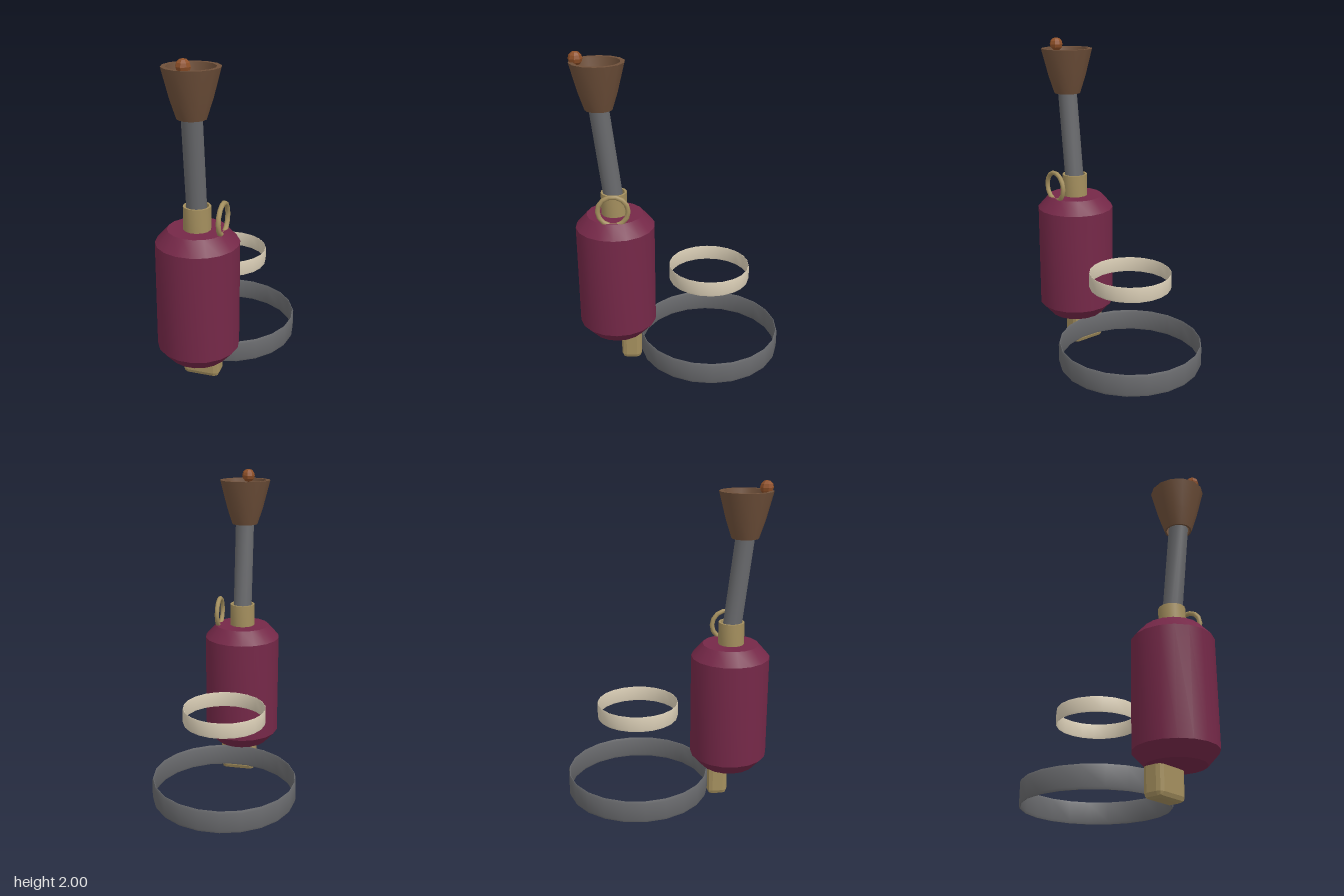
import * as THREE from 'three';
import { toCreasedNormals } from 'three/addons/utils/BufferGeometryUtils.js';
import { RoundedBoxGeometry } from 'three/addons/geometries/RoundedBoxGeometry.js';

const mat = (color, flatShading = false) => new THREE.MeshStandardMaterial({ color, flatShading });

export function createModel() {
  const group = new THREE.Group();
  const red = mat(0x752848), brass = mat(0xa48f5e), grey = mat(0x68696c);
  const cream = mat(0xd9cdb5), brown = mat(0x6f503a);

  const add = (name, geometry, material, x, y, z) => {
    const mesh = new THREE.Mesh(geometry, material);
    mesh.name = name;
    mesh.position.set(x, y, z);
    group.add(mesh);
    return mesh;
  };

  // Turned part with a corner pointing to +x and sharp profile edges
  const turned = (points, sides) => toCreasedNormals(
    new THREE.LatheGeometry(points.map(p => new THREE.Vector2(...p)), sides, Math.PI / 2), 0.6);

  // Thin upright band with softened rims
  const band = (r, h, t, c) => turned([
    [r - t, -h / 2 + c], [r - t * 0.6, -h / 2], [r - t * 0.4, -h / 2], [r, -h / 2 + c],
    [r, h / 2 - c], [r - t * 0.4, h / 2], [r - t * 0.6, h / 2], [r - t, h / 2 - c],
    [r - t, -h / 2 + c]], 22);

  // Belt and upper loop
  add('beltBand', band(0.45, 0.14, 0.014, 0.015), grey, 0, 0.11, -0.195);
  add('upperBand', band(0.255, 0.096, 0.007, 0.012), cream, 0, 0.592, -0.192);

  // Bevelled buckle at the front of the belt
  const buckle = mat(0xa48f5e, true);
  add('buckle', new RoundedBoxGeometry(0.23, 0.22, 0.13, 1, 0.032), buckle, 0, 0.11, 0.31);

  // Canister
  add('canister', turned([[0, 0.18], [0.175, 0.18], [0.246, 0.26], [0.246, 0.92],
    [0.175, 1], [0, 1]], 18), red, 0, 0, 0.395);

  // Hollow neck collar
  add('neck', turned([[0.068, 0.99], [0.081, 0.99], [0.081, 1.14], [0.068, 1.14],
    [0.068, 0.99]], 14), brass, 0, 0, 0.398);

  // Leaning pipe
  const pipe = add('pipe', toCreasedNormals(new THREE.CylinderGeometry(0.06, 0.06, 0.66, 12), 0.6),
    grey, 0, 1.35, 0.43);
  pipe.rotation.x = 0.118;

  // Flared cup, open at both ends
  add('cup', turned([[0.072, 1.66], [0.083, 1.66], [0.119, 1.77], [0.163, 1.94],
    [0.136, 1.94], [0.1, 1.77], [0.072, 1.66]], 14), brown, 0, 0, 0.467);

  // Bead on the cup rim
  add('bead', new THREE.SphereGeometry(0.042, 8, 6), mat(0x8f5028, true), 0, 1.958, 0.588);

  // Pull ring beside the neck
  const ring = add('pullRing', new THREE.TorusGeometry(0.092, 0.015, 8, 14), brass, 0.154, 1.076, 0.397);
  ring.rotation.y = Math.PI / 2;

  return group;
}
